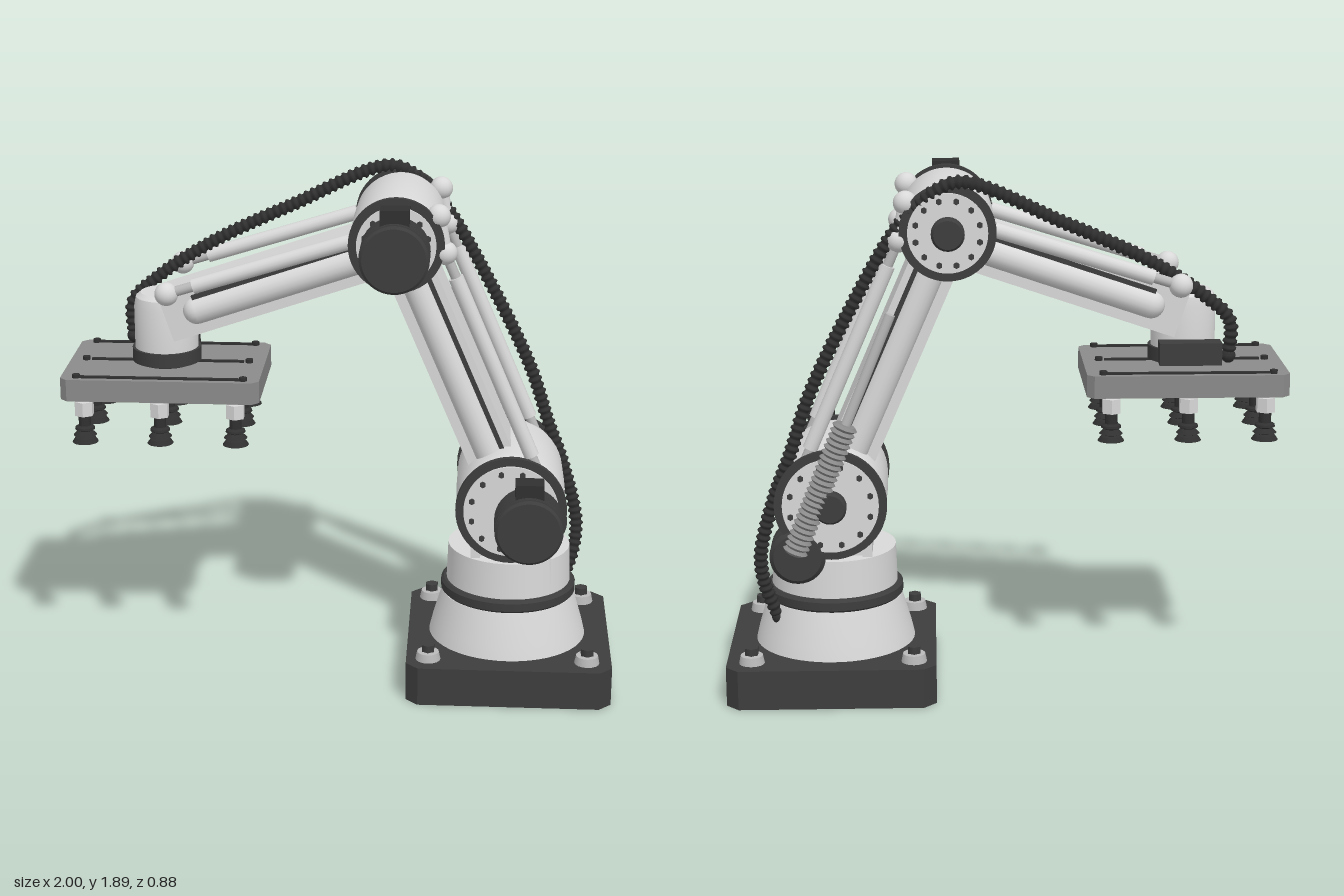
import * as THREE from 'three';
import { toCreasedNormals } from 'three/addons/utils/BufferGeometryUtils.js';

const mat = (name, color) => Object.assign(new THREE.MeshStandardMaterial({ color }), { name });
const white = mat('white paint', 0xd8d8d8);
const steel = mat('steel', 0xb8b8b8);
const grey = mat('grey plate', 0x8a8a8a);
const dark = mat('dark housing', 0x3d3d3d);
const rubber = mat('black rubber', 0x303030);

const CZ = -0.065; // centre plane of the arm
const SHOULDER = new THREE.Vector2(0.62, 0.72);
const ELBOW = new THREE.Vector2(0.2, 1.69);
const WRIST = new THREE.Vector2(-0.635, 1.409);

export function createModel() {
  const root = new THREE.Group();
  root.name = 'palletizing robot arm';

  const add = (name, geo, material, x = 0, y = 0, z = 0, parent = root) => {
    const m = new THREE.Mesh(geo, material);
    m.name = name;
    m.position.set(x, y, z);
    parent.add(m);
    return m;
  };
  const box = (name, w, h, d, material, x, y, z, parent) =>
    add(name, new THREE.BoxGeometry(w, h, d), material, x, y, z, parent);
  // turned part about y, profile of [radius, height] from low to high
  const turned = (pts, seg = 40) => toCreasedNormals(
    new THREE.LatheGeometry(pts.map(p => new THREE.Vector2(...p)), seg), 0.6);
  // turned part about z
  const turnedZ = (pts, seg) => turned(pts, seg).rotateX(Math.PI / 2);
  const discZ = (r, z0, z1, seg) => turnedZ([[0, z0], [r, z0], [r, z1], [0, z1]], seg);
  // round bar between two points
  const bar = (name, a, b, r, material, seg = 14) => {
    const d = b.clone().sub(a);
    const m = add(name, new THREE.CylinderGeometry(r, r, d.length(), seg), material);
    m.position.copy(a).add(b).multiplyScalar(0.5);
    m.quaternion.setFromUnitVectors(new THREE.Vector3(0, 1, 0), d.normalize());
    return m;
  };
  // plate with chamfered corners, lying flat
  const plate = (w, d, h, c) => {
    const s = new THREE.Shape();
    const x = w / 2, y = d / 2;
    [[-x + c, -y], [x - c, -y], [x, -y + c], [x, y - c], [x - c, y], [-x + c, y], [-x, y - c], [-x, -y + c]]
      .forEach((p, i) => (i ? s.lineTo(...p) : s.moveTo(...p)));
    return new THREE.ExtrudeGeometry(s, { depth: h, bevelEnabled: false }).rotateX(-Math.PI / 2);
  };

  // base with corner bolts
  add('basePlate', plate(0.75, 0.75, 0.145, 0.045), dark, 0.625, 0, CZ);
  for (const sx of [-1, 1]) for (const sz of [-1, 1]) {
    const x = 0.62 + sx * 0.29, z = CZ + sz * 0.285;
    add('baseWasher', turned([[0, 0], [0.046, 0], [0.04, 0.03], [0, 0.035]], 16), steel, x, 0.145, z);
    add('baseBolt', new THREE.CylinderGeometry(0.026, 0.026, 0.03, 6), dark, x, 0.188, z);
  }

  // pedestal and turntable
  add('pedestal', turned([[0, 0], [0.292, 0], [0.28, 0.05], [0.245, 0.17], [0, 0.17]], 48), white, 0.62, 0.145, CZ);
  add('turntableRing', turned([[0, 0], [0.24, 0], [0.25, 0.01], [0.25, 0.04], [0.24, 0.05], [0, 0.05]], 48), dark, 0.62, 0.313, CZ);
  add('turntable', new THREE.CylinderGeometry(0.225, 0.23, 0.14, 48), white, 0.62, 0.43, CZ);
  box('shoulderYoke', 0.25, 0.2, 0.3, white, 0.625, 0.5, CZ);
  for (const x of [0.495, 0.755]) box('yokeRib', 0.035, 0.2, 0.34, white, x, 0.5, CZ);

  // joint drum with a bolted flange on either side
  const joint = (name, c, r) => {
    const g = new THREE.Group();
    g.name = name;
    g.position.set(c.x, c.y, CZ);
    root.add(g);
    add('drum', turnedZ([[0, -0.245], [r - 0.025, -0.245], [r - 0.008, -0.225], [r, -0.18], [r + 0.003, 0],
      [r, 0.18], [r - 0.008, 0.225], [r - 0.025, 0.245], [0, 0.245]], 48), white, 0, 0, 0, g);
    for (const s of [-1, 1]) {
      const at = (a, b) => [Math.min(s * a, s * b), Math.max(s * a, s * b)];
      add('flangeRing', discZ(r + 0.004, ...at(0.235, 0.258), 48), dark, 0, 0, 0, g);
      add('flangeFace', discZ(r - 0.025, ...at(0.25, 0.266), 48), white, 0, 0, 0, g);
      for (let i = 0; i < 12; i++) {
        const a = (i + 0.5) * Math.PI / 6;
        add('flangeBolt', discZ(0.011, ...at(0.26, 0.276), 6), dark,
          Math.cos(a) * (r - 0.05), Math.sin(a) * (r - 0.05), 0, g);
      }
    }
    add('bearingCap', turnedZ([[0, -0.305], [0.05, -0.305], [0.058, -0.295], [0.058, -0.25], [0, -0.25]], 24), dark, 0, 0, 0, g);
  };
  joint('shoulderJoint', SHOULDER, 0.196);
  joint('elbowJoint', ELBOW, 0.164);

  // finned drive motors
  const motor = (name, x, y, z) => {
    const g = new THREE.Group();
    g.name = name;
    g.position.set(x, y, z);
    root.add(g);
    add('motorShaft', discZ(0.066, -0.1, 0.01, 24), dark, 0, 0, 0, g);
    const pts = [[0, 0], [0.11, 0]];
    for (let i = 0; i < 11; i++) {
      const f = 0.004 + i * 0.0115;
      pts.push([0.11, f], [0.121, f + 0.001], [0.121, f + 0.006], [0.11, f + 0.007]);
    }
    pts.push([0.119, 0.133], [0.119, 0.138], [0.11, 0.145], [0, 0.145]);
    add('finnedBody', turnedZ(pts, 40), dark, 0, 0, 0, g);
    box('terminalBox', 0.1, 0.07, 0.08, rubber, 0, 0.13, 0.07, g);
  };
  motor('shoulderMotor', 0.68, 0.73, 0.29);
  motor('elbowMotor', ELBOW.x, ELBOW.y, 0.255);

  // arm link: box beam with a round rail along each side
  const link = (name, a, b, lo, hi, start, end, railStart, railEnd) => {
    const g = new THREE.Group();
    g.name = name;
    g.position.set(a.x, a.y, CZ);
    g.rotation.z = Math.atan2(b.y - a.y, b.x - a.x);
    root.add(g);
    const mid = (lo + hi) / 2, len = railEnd - railStart;
    box('beam', end - start, hi - lo, 0.235, white, (start + end) / 2, mid, 0, g);
    for (const s of [-1, 1]) {
      const rail = add('sideRail', new THREE.CapsuleGeometry(0.05, len - 0.1, 6, 18), white,
        (railStart + railEnd) / 2, mid, s * 0.11, g);
      rail.rotation.z = Math.PI / 2;
      box('railSlot', len - 0.1, 0.016, 0.02, dark, (railStart + railEnd) / 2, mid + (mid > 0 ? -0.052 : 0.052), s * 0.122, g);
    }
  };
  link('upperArm', ELBOW, SHOULDER, -0.095, 0.075, 0.05, 1.0, 0.12, 0.92);
  link('forearm', ELBOW, WRIST, -0.045, 0.125, 0.05, 0.888, 0.1, 0.82);

  // parallel tie rods with ball joints on both sides
  const tieRod = (name, a, b, z, f0, f1) => {
    const p = new THREE.Vector3(a[0], a[1], z), q = new THREE.Vector3(b[0], b[1], z);
    bar(name, p, q, 0.018, steel);
    bar(name + 'Sleeve', p.clone().lerp(q, f0), p.clone().lerp(q, f1), 0.027, white);
    for (const e of [p, q]) add('ballJoint', new THREE.SphereGeometry(0.042, 20, 14), white, e.x, e.y, e.z);
  };
  for (const s of [-1, 1]) {
    const z = CZ + s * 0.222;
    tieRod('forearmTieRod', [-0.61, 1.495], [0.345, 1.79], z, 0.1, 0.68);
    tieRod('upperArmTieRod', [0.37, 1.66], [0.745, 0.79], z, 0.1, 0.85);
    bar('elbowLever', new THREE.Vector3(0.345, 1.79, z), new THREE.Vector3(0.37, 1.66, z), 0.024, white);
  }

  // counterbalance spring behind the shoulder
  const sLow = new THREE.Vector3(0.75, 0.55, -0.34), sHigh = new THREE.Vector3(0.56, 1.02, -0.34);
  const sDir = sHigh.clone().sub(sLow);
  bar('springRod', sLow, new THREE.Vector3(0.4, 1.41, -0.335), 0.018, steel);
  const coils = [[0, 0]];
  for (let i = 0; i < 24; i++) coils.push([0.034, i / 24 * sDir.length()], [0.046, (i + 0.5) / 24 * sDir.length()]);
  coils.push([0.034, sDir.length()], [0, sDir.length()]);
  const spring = add('balanceSpring', turned(coils, 20), grey, ...sLow.toArray());
  spring.quaternion.setFromUnitVectors(new THREE.Vector3(0, 1, 0), sDir.clone().normalize());
  add('springMount', turnedZ([[0, -0.335], [0.085, -0.335], [0.1, -0.32], [0.1, -0.3], [0.085, -0.295],
    [0.085, -0.25], [0.1, -0.245], [0.1, -0.195], [0, -0.19]], 32), dark, 0.74, 0.53, 0);

  // wrist
  add('wristBody', turned([[0, 0], [0.115, 0], [0.115, 0.16], [0.108, 0.195], [0.09, 0.21], [0, 0.21]], 40), white, -0.645, 1.235, CZ);
  add('wristRing', new THREE.CylinderGeometry(0.125, 0.125, 0.05, 40), dark, -0.645, 1.215, CZ);
  add('wristCollar', new THREE.CylinderGeometry(0.1, 0.1, 0.02, 40), rubber, -0.645, 1.185, CZ);
  box('wristConnector', 0.22, 0.08, 0.07, dark, -0.655, 1.24, CZ - 0.15);

  // gripper plate with slots and mounting rails
  add('gripperPlate', plate(0.715, 0.505, 0.08, 0.025), grey, -0.643, 1.1, CZ);
  for (const s of [-1, 0, 1]) {
    const z = CZ + s * 0.222;
    box('plateSlot', s ? 0.61 : 0.56, 0.008, 0.014, rubber, -0.643, 1.183, z);
    for (const e of [-1, 1]) add('slotScrew', new THREE.CylinderGeometry(0.014, 0.014, 0.014, 10), rubber, -0.643 + e * 0.3, 1.186, z);
    box('cupRail', 0.06, 0.012, 0.5, steel, -0.643 + s * 0.272, 1.096, CZ);
  }

  // nine suction cups
  const cup = turned([[0, 0], [0.047, 0], [0.036, 0.016], [0.024, 0.02], [0.042, 0.026], [0.03, 0.038], [0.024, 0.042],
    [0.036, 0.048], [0.034, 0.056], [0.022, 0.062], [0.022, 0.1], [0, 0.1]], 20);
  const nut = toCreasedNormals(new THREE.CylinderGeometry(0.036, 0.036, 0.052, 6), 0.5);
  for (const i of [-1, 0, 1]) for (const j of [-1, 0, 1]) {
    const x = -0.643 + i * 0.272, z = CZ + j * 0.235;
    add('cupNut', nut, white, x, 1.072, z);
    add('suctionCup', cup, rubber, x, 0.945, z);
  }

  // corrugated cable conduit from wrist to base
  const path = new THREE.CatmullRomCurve3([
    [-0.79, 1.23, -0.22], [-0.79, 1.36, -0.23], [-0.7, 1.45, -0.24], [-0.5, 1.58, -0.26], [-0.2, 1.72, -0.29],
    [0.15, 1.865, -0.315], [0.25, 1.83, -0.315], [0.37, 1.71, -0.29], [0.54, 1.42, -0.285], [0.69, 1.11, -0.285],
    [0.76, 0.9, -0.29], [0.82, 0.74, -0.27], [0.875, 0.52, -0.25], [0.865, 0.4, -0.23], [0.82, 0.27, -0.21],
  ].map(p => new THREE.Vector3(...p)), false, 'centripetal');
  const SEG = 480, RAD = 10;
  const hose = new THREE.TubeGeometry(path, SEG, 0.025, RAD);
  const pos = hose.attributes.position, nor = hose.attributes.normal;
  for (let i = 0; i < pos.count; i++) {
    const k = Math.floor(i / (RAD + 1)) % 4 < 2 ? 0.001 : -0.006;
    pos.setXYZ(i, pos.getX(i) + nor.getX(i) * k, pos.getY(i) + nor.getY(i) * k, pos.getZ(i) + nor.getZ(i) * k);
  }
  hose.computeVertexNormals();
  add('cableConduit', hose, rubber);
  for (const t of [0, 1]) add('conduitEnd', new THREE.SphereGeometry(0.026, 12, 8), rubber, ...path.getPoint(t).toArray());

  return root;
}
